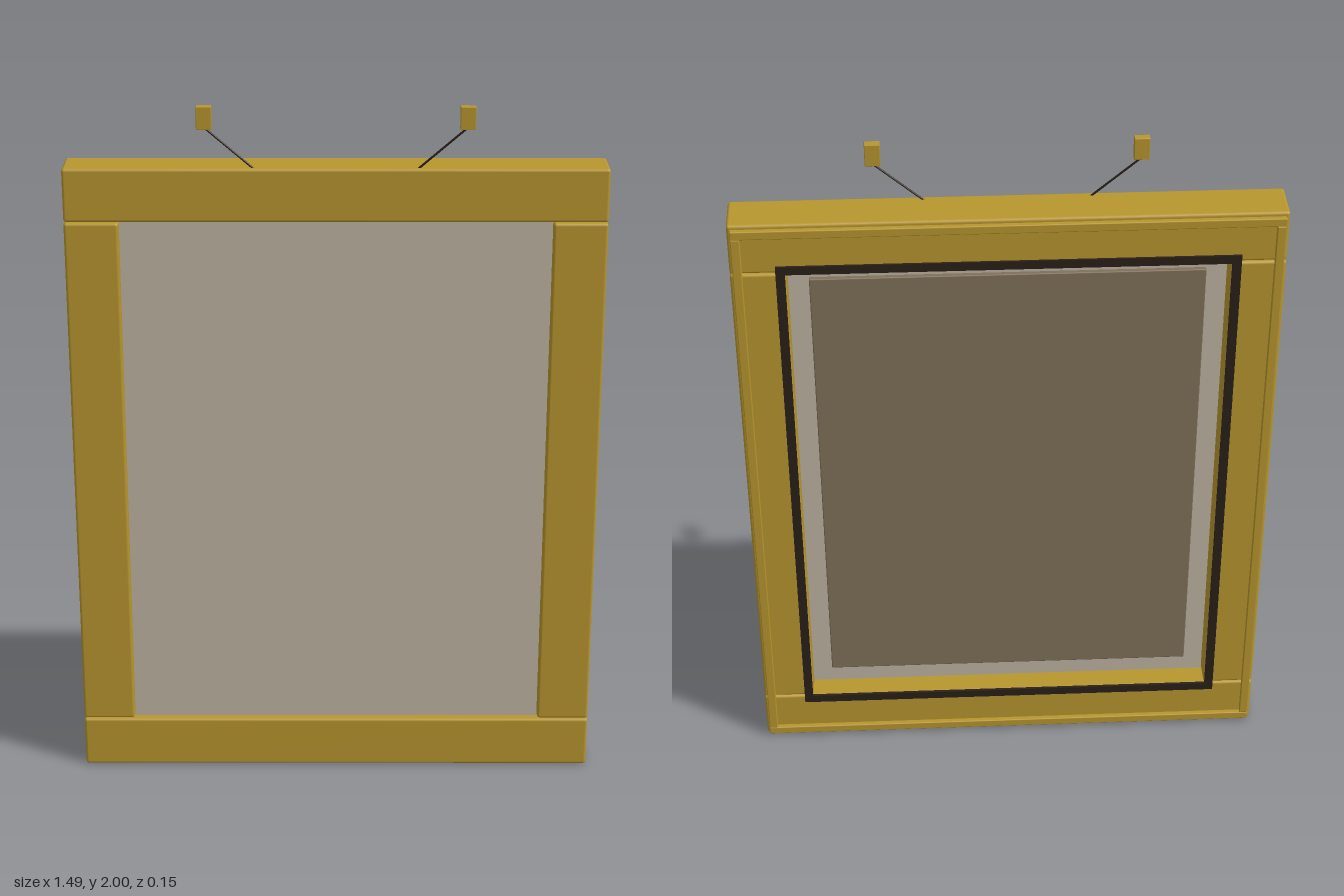
import * as THREE from 'three';
import { RoundedBoxGeometry } from 'three/addons/geometries/RoundedBoxGeometry.js';

const gold = new THREE.MeshStandardMaterial({ color: 0xb8962e });
const linen = new THREE.MeshStandardMaterial({ color: 0xbfb5a2 });
const board = new THREE.MeshStandardMaterial({ color: 0x80705a });
const dark = new THREE.MeshStandardMaterial({ color: 0x2a2018 });

// Box given by its extents; a radius softens the edges
function block(name, [x0, x1], [y0, y1], [z0, z1], material, radius = 0) {
  const size = [x1 - x0, y1 - y0, z1 - z0];
  const geometry = radius
    ? new RoundedBoxGeometry(...size, 2, radius)
    : new THREE.BoxGeometry(...size);
  const mesh = new THREE.Mesh(geometry, material);
  mesh.position.set((x0 + x1) / 2, (y0 + y1) / 2, (z0 + z1) / 2);
  mesh.name = name;
  return mesh;
}

// Four bars around a rectangle: full-width rails, stiles between them
function border(name, halfWidth, [y0, y1], width, z, material, radius = 0, gap = 0) {
  const group = new THREE.Group();
  group.name = name;
  const across = [-halfWidth, halfWidth];
  const between = [y0 + width + gap, y1 - width - gap];
  group.add(
    block(name + 'BottomRail', across, [y0, y0 + width], z, material, radius),
    block(name + 'TopRail', across, [y1 - width, y1], z, material, radius),
    block(name + 'LeftStile', [halfWidth - width, halfWidth], between, z, material, radius),
    block(name + 'RightStile', [-halfWidth, width - halfWidth], between, z, material, radius)
  );
  return group;
}

export function createModel() {
  const model = new THREE.Group();
  model.name = 'pictureFrame';

  // Main frame, thin rim and dark gasket on its back
  model.add(
    border('frame', 0.747, [0, 1.828], 0.15, [-0.057, 0.073], gold, 0.008, 0.003),
    border('backRim', 0.738, [0.01, 1.818], 0.025, [-0.073, -0.057], gold, 0.003),
    border('gasket', 0.625, [0.128, 1.7], 0.025, [-0.063, -0.055], dark)
  );

  // Picture panel and its backing board
  model.add(
    block('canvas', [-0.6, 0.6], [0.15, 1.678], [0.013, 0.047], linen),
    block('backingBoard', [-0.54, 0.54], [0.21, 1.62], [-0.002, 0.013], board, 0.003)
  );

  // Hanging wires and wall hooks
  for (const [side, s] of [['left', 1], ['right', -1]]) {
    const wire = new THREE.LineCurve3(
      new THREE.Vector3(s * 0.222, 1.824, 0.057),
      new THREE.Vector3(s * 0.357, 1.94, 0.057)
    );
    const wireMesh = new THREE.Mesh(new THREE.TubeGeometry(wire, 1, 0.003, 8), dark);
    wireMesh.name = side + 'Wire';
    const x = s * 0.357;
    model.add(wireMesh, block(side + 'Hook', [x - 0.021, x + 0.021], [1.936, 2], [0.05, 0.073], gold, 0.002));
  }
  return model;
}
